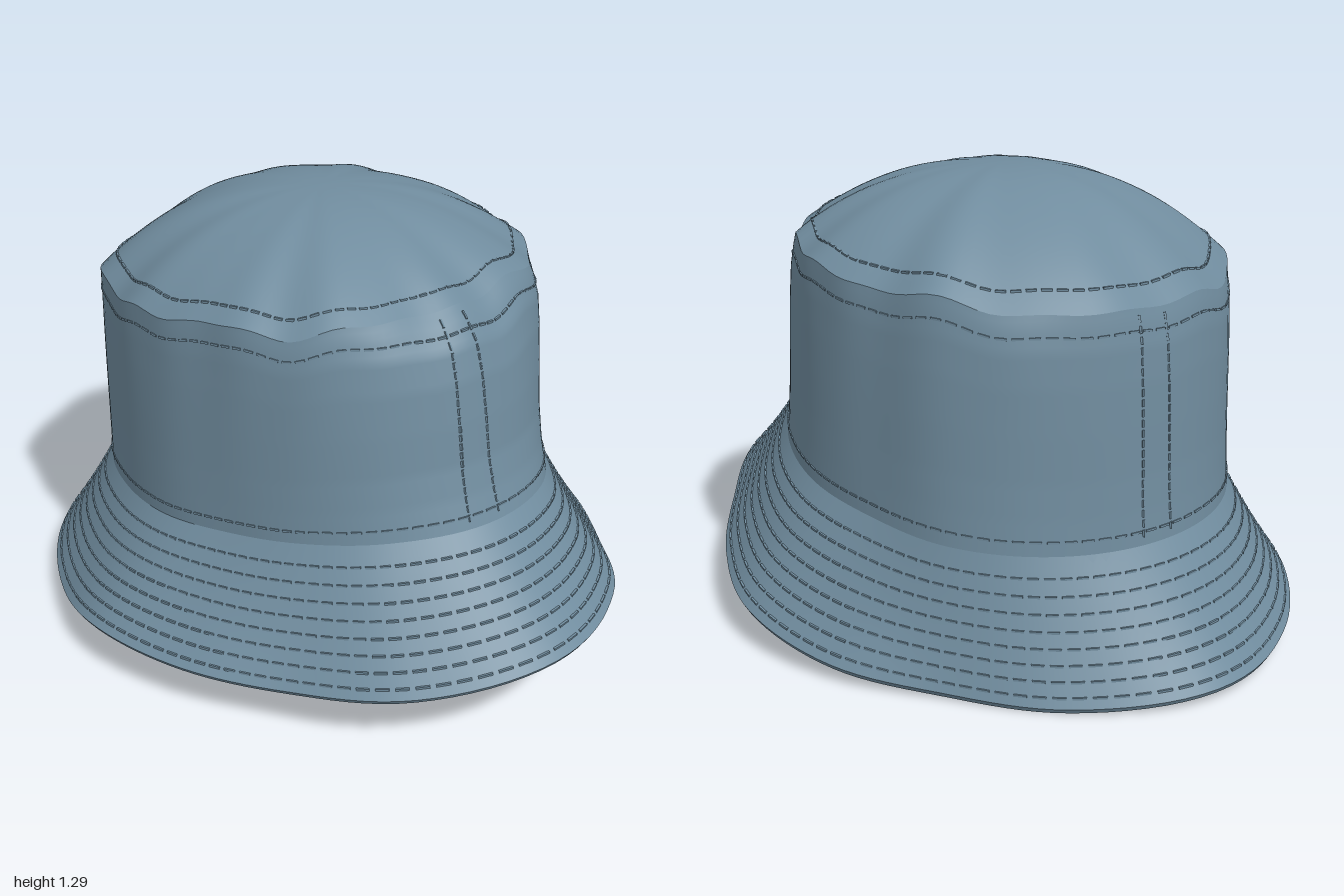
import * as THREE from 'three';
import { mergeGeometries } from 'three/addons/utils/BufferGeometryUtils.js';

const TAU = Math.PI * 2;
const TWIST = -6 * Math.PI / 180; // the front and back points of the brim sit slightly off axis
const { lerp, degToRad } = THREE.MathUtils;

// Closed smooth loop through 16 evenly spaced values, starting at the front and turning towards +x
function ring(values) {
  const curve = new THREE.CatmullRomCurve3(values.map(v => new THREE.Vector3(v, 0, 0)), true, 'catmullrom', 0.5);
  return u => curve.getPoint(((u % 1) + 1) % 1).x;
}
const brimRadius = ring([1.0, .93, .83, .815, .84, .825, .81, .895, 1.005, .96, .9, .855, .845, .81, .815, .92]);
const brimHeight = ring([.27, .25, .19, .145, .105, .05, .02, .012, .04, .04, .07, .085, .15, .155, .165, .21]);
const baseRadius = ring([.7, .685, .63, .61, .61, .625, .69, .735, .755, .745, .7, .635, .595, .57, .595, .65]);
const seamRadius = ring([.5, .51, .56, .56, .6, .6, .65, .68, .7, .7, .68, .63, .575, .55, .55, .52]);

const polar = (u, r, y) => {
  const a = u * TAU + TWIST;
  return new THREE.Vector3(Math.sin(a) * r, y, Math.cos(a) * r);
};
const pucker = u => {
  const a = u * TAU;
  return 0.008 * (Math.sin(7 * a) + Math.sin(11 * a + 1) + 0.6 * Math.sin(17 * a + 2));
};

function basePoint(u) {
  const p = polar(u, baseRadius(u), 0);
  p.y = .435 + .12 * p.z + .045 * p.z * p.z - .015 * p.x;
  return p;
}
function seamPoint(u) {
  const p = polar(u, seamRadius(u) + pucker(u) * .5, 0);
  p.y = 1.065 + .09 * p.z + pucker(u + .1);
  return p;
}

// How far the wall has leaned in from base to top seam, by height
const LEAN = [[0, 0], [.15, .16], [.3, .28], [.5, .37], [.7, .48], [.85, .62], [.95, .84], [1, 1]];
function lean(t) {
  let i = 1;
  while (i < LEAN.length - 1 && t > LEAN[i][0]) i++;
  const [a, b] = [LEAN[i - 1], LEAN[i]];
  return lerp(a[1], b[1], (t - a[0]) / (b[0] - a[0]));
}
function wall(u, t) {
  const a = basePoint(u), b = seamPoint(u), f = lean(t);
  const dimple = pucker(u * 1 + .05) * .7 * Math.sin(Math.PI * t) * t ** 5;
  const p = new THREE.Vector3(lerp(a.x, b.x, f), lerp(a.y, b.y, t), lerp(a.z, b.z, f));
  return p.add(polar(u, dimple, 0));
}
function dome(u, t) {
  const s = seamPoint(u), k = 1 - t;
  const y = s.y + (1.29 - s.y) * (1 - k ** 2.35) + pucker(u + .3) * 4 * t * k ** 6;
  return new THREE.Vector3(s.x * k, y, lerp(-.05, s.z, k));
}
function brim(u, t) {
  const edge = polar(u, brimRadius(u), brimHeight(u));
  const p = edge.lerp(basePoint(u), t);
  p.y -= .012 * Math.sin(Math.PI * t);
  return p;
}
function brimUnder(u, t) {
  const p = brim(u, 1 - t);
  p.y -= .014 * t;
  return p.add(polar(u, -.008 * t, 0));
}
const brimLip = (u, t) => brimUnder(u, 1).lerp(brim(u, 0), t);

// Closed surface of loops, t running upwards on the outside
function loft(fn, rows, cols = 128) {
  const pos = [], index = [];
  for (let j = 0; j <= rows; j++)
    for (let i = 0; i < cols; i++) pos.push(...fn(i / cols, j / rows).toArray());
  for (let j = 0; j < rows; j++)
    for (let i = 0; i < cols; i++) {
      const n = (i + 1) % cols, a = j * cols + i, b = j * cols + n;
      index.push(a, b, b + cols, a, b + cols, a + cols);
    }
  const g = new THREE.BufferGeometry();
  g.setAttribute('position', new THREE.Float32BufferAttribute(pos, 3));
  g.setIndex(index);
  g.computeVertexNormals();
  return g;
}

// Row of short thread dashes along a path
function dashes(path, count) {
  const up = new THREE.Vector3(0.1, 1, 0.05), parts = [];
  for (let i = 0; i < count; i++) {
    const a = path((i + .15) / count), b = path((i + .85) / count);
    const g = new THREE.BoxGeometry(.006, .006, a.distanceTo(b));
    const m = new THREE.Matrix4().lookAt(a, b, up).setPosition(a.clone().lerp(b, .5));
    parts.push(g.applyMatrix4(m));
  }
  return mergeGeometries(parts);
}

export function createModel() {
  const hat = new THREE.Group();
  hat.name = 'bucketHat';
  const cloth = new THREE.MeshStandardMaterial({ color: 0x708c9e, side: THREE.DoubleSide });
  cloth.name = 'blueGreyCloth';
  const add = (name, geometry) => {
    const mesh = new THREE.Mesh(geometry, cloth);
    mesh.name = name;
    hat.add(mesh);
  };

  // Cloth panels
  add('crownWall', loft(wall, 40));
  add('crownTop', loft(dome, 24));
  add('brimTop', loft(brim, 10));
  add('brimUnderside', loft(brimUnder, 10));
  add('brimEdge', loft(brimLip, 1));

  // Concentric stitching on the brim
  const rows = [];
  for (let i = 0; i < 8; i++) rows.push(dashes(s => brim(s, .08 + i * .112), 110));
  add('brimStitching', mergeGeometries(rows));

  // Stitching on both sides of the top seam and just above the brim
  add('seamStitching', mergeGeometries([
    dashes(s => dome(s, .08), 100),
    dashes(s => wall(s, .91), 100),
    dashes(s => wall(s, .06), 100),
  ]));

  // Paired upright stitching at the front and back joins
  const uprights = [];
  for (const [centre, half] of [[0, 4], [180, 3.6]])
    for (const side of [-1, 1]) {
      const u = degToRad(centre + side * half) / TAU;
      uprights.push(dashes(s => wall(u, .03 + s * .95), 22));
    }
  add('uprightStitching', mergeGeometries(uprights));
  return hat;
}
